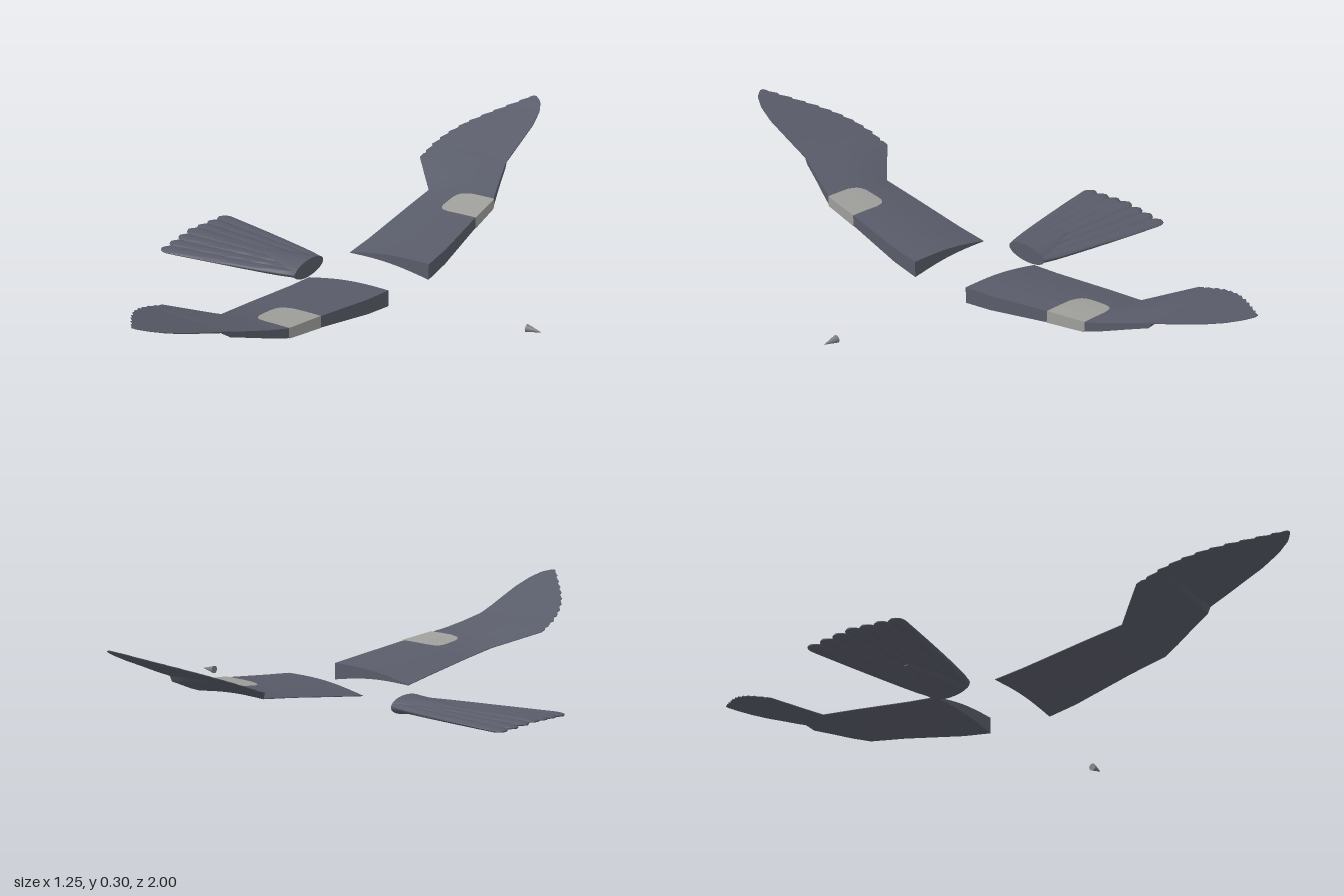
import * as THREE from 'three';
import { toCreasedNormals } from 'three/addons/utils/BufferGeometryUtils.js';

const plumage = new THREE.MeshStandardMaterial({ color: 0x595c69 });
plumage.name = 'slatePlumage';
const pale = new THREE.MeshStandardMaterial({ color: 0x9e9e9b });
pale.name = 'paleGrey';
const horn = new THREE.MeshStandardMaterial({ color: 0x7d7d80 });
horn.name = 'hornGrey';

// Skin a row of cross-sections; each runs counterclockwise about the row's direction
function loft(rings, { closed = true, flip = false, crease = 0.6 } = {}) {
  const n = rings[0].length, pos = rings.flat(2), idx = [];
  const tri = (a, b, c) => (flip ? idx.push(a, c, b) : idx.push(a, b, c));
  for (let i = 0; i < rings.length - 1; i++) {
    for (let j = 0; j < (closed ? n : n - 1); j++) {
      const k = (j + 1) % n, a = i * n + j, b = i * n + k;
      tri(a, b, a + n);
      tri(b, b + n, a + n);
    }
  }
  if (closed) {
    [0, rings.length - 1].forEach((r, end) => {
      // caps are strips, since every section is symmetrical in its point count
      for (let j = 0; j < n / 2 - 1; j++) {
        const a = r * n + j, b = a + 1, c = r * n + n - 1 - j, d = c - 1;
        if (end) { tri(a, b, c); tri(b, d, c); } else { tri(a, c, b); tri(b, c, d); }
      }
    });
  }
  const g = new THREE.BufferGeometry();
  g.setAttribute('position', new THREE.Float32BufferAttribute(pos, 3));
  g.setIndex(idx);
  return toCreasedNormals(g, crease);
}

// Wing stations: span z, trailing x, leading x, trailing y, leading y, front thickness
const STATIONS = [
  [0.105, -0.095, 0.182, 0.058, 0.092, 0.05],
  [0.20, -0.091, 0.178, 0.07, 0.101, 0.046],
  [0.40, -0.09, 0.156, 0.097, 0.124, 0.035],
  [0.525, -0.09, 0.143, 0.112, 0.136, 0.03],
  [0.58, -0.142, 0.122, 0.134, 0.147, 0.025],
  [0.64, -0.198, 0.1, 0.158, 0.163, 0.02],
  [0.70, -0.196, 0.08, 0.18, 0.181, 0.017],
  [0.71, -0.194, 0.078, 0.184, 0.185, 0.004],
  [0.76, -0.18, 0.075, 0.203, 0.203, 0.004],
  [0.82, -0.15, 0.073, 0.226, 0.226, 0.003],
  [0.88, -0.106, 0.07, 0.249, 0.249, 0.003],
  [0.94, -0.055, 0.058, 0.272, 0.272, 0.002],
  [0.98, -0.02, 0.038, 0.288, 0.288, 0.002],
  [1.0, 0.0, 0.012, 0.295, 0.295, 0.002],
];

function station(z) {
  let i = 0;
  while (i < STATIONS.length - 2 && z > STATIONS[i + 1][0]) i++;
  const a = STATIONS[i], b = STATIONS[i + 1], t = (z - a[0]) / (b[0] - a[0]);
  return a.map((v, k) => THREE.MathUtils.lerp(v, b[k], t));
}

// Top and underside heights at fraction u from trailing (0) to leading edge (1)
function heights([, , , yT, yL, th], u) {
  const top = THREE.MathUtils.lerp(yT, yL, u) + 0.2 * th * Math.sin(Math.PI * u);
  return [top, top - THREE.MathUtils.lerp(0.002, th, u)];
}

function makeWing(side) {
  const wing = new THREE.Group();
  wing.name = side > 0 ? 'leftWing' : 'rightWing';

  // Arm and hand, with small feather-tip notches along the outer trailing edge
  const spans = STATIONS.slice(0, 6).map(s => s[0]);
  const count = 44;
  for (let i = 1; i <= count; i++) spans.push(0.64 + 0.36 * i / count);
  spans.push(0.70, 0.71);
  spans.sort((a, b) => a - b);
  const steps = 10;
  const rings = [...new Set(spans)].map(z => {
    const s = station(z);
    const notch = z > 0.66 && z < 0.985 ? 0.009 * (((z - 0.64) / 0.0327) % 1) : 0;
    const x0 = s[1] + notch, top = [], under = [];
    for (let j = 0; j <= steps; j++) {
      const u = 1 - j / steps, x = THREE.MathUtils.lerp(x0, s[2], u);
      const [t, b] = heights(s, u);
      top.push([x, t, side * z]);
      under.unshift([x, b, side * z]);
    }
    return [...top, ...under];
  });
  const body = new THREE.Mesh(loft(rings, { flip: side < 0 }), plumage);
  body.name = 'wingSurface';

  // Pale patch wrapped over the leading edge, rounded at its rear corners
  const patchRings = [];
  for (let i = 0; i <= 20; i++) {
    const z = 0.4 + 0.128 * i / 20, s = station(z);
    const t = Math.abs(i / 10 - 1);
    const x0 = 0.02 + 0.045 * (1 - Math.sqrt(1 - t ** 4));
    const ring = [[s[2] + 0.002, heights(s, 1)[1], side * z]];
    for (let j = 0; j <= 8; j++) {
      const x = THREE.MathUtils.lerp(s[2], x0, j / 8);
      const u = (x - s[1]) / (s[2] - s[1]);
      ring.push([x + (j ? 0 : 0.002), heights(s, u)[0] + 0.002, side * z]);
    }
    patchRings.push(ring);
  }
  const patch = new THREE.Mesh(loft(patchRings, { closed: false, flip: side < 0 }), pale);
  patch.name = 'wingPatch';
  wing.add(body, patch);
  return wing;
}

// Elliptical section across the tail axis
function ellipse(x, y, z, ry, rz, n = 20) {
  return Array.from({ length: n }, (_, j) => {
    const a = (j / n) * Math.PI * 2;
    return [x, y + ry * Math.sin(a), z + rz * Math.cos(a)];
  });
}

function makeTail() {
  const tail = new THREE.Group();
  tail.name = 'tail';
  // Rump tapering into the fan
  const rump = [
    [-0.17, 0.0275, 0.0275, 0.072], [-0.21, 0.028, 0.0235, 0.066],
    [-0.26, 0.03, 0.019, 0.052], [-0.31, 0.031, 0.015, 0.034], [-0.37, 0.032, 0.01, 0.008],
  ].map(([x, y, ry, rz]) => ellipse(x, y, 0, ry, rz, 28));
  const rumpMesh = new THREE.Mesh(loft(rump, { crease: 1 }), plumage);
  rumpMesh.name = 'rump';
  tail.add(rumpMesh);

  // Fan of seven overlapping feathers with rounded tips
  for (let k = -3; k <= 3; k++) {
    const rings = [];
    for (let i = 0; i <= 16; i++) {
      const t = i < 10 ? i / 10 * 0.92 : 0.92 + 0.08 * Math.sin((i - 10) / 6 * Math.PI / 2);
      const round = t > 0.92 ? Math.sqrt(Math.max(0.02, 1 - ((t - 0.92) / 0.08) ** 2)) : 1;
      const reach = 0.452 - 0.003 * Math.abs(k);
      const z = k * (0.018 + 0.028 * Math.pow(t, 0.8));
      const y = 0.035 - 0.0022 * Math.abs(k);
      const ry = THREE.MathUtils.lerp(0.011, 0.006, t) * Math.max(round, 0.4);
      rings.push(ellipse(-0.172 - reach * t, y, z, ry, (0.02 + 0.009 * t) * round, 16));
    }
    const feather = new THREE.Mesh(loft(rings, { crease: 1 }), plumage);
    feather.name = 'tailFeather';
    tail.add(feather);
  }
  return tail;
}

export function createModel() {
  const model = new THREE.Group();
  model.name = 'birdParts';
  model.add(makeWing(1), makeWing(-1), makeTail());

  // Beak tip pointing forward along x
  const cone = new THREE.ConeGeometry(0.0115, 0.047, 16);
  cone.rotateZ(-Math.PI / 2);
  cone.translate(0.5985, 0.042, 0);
  const beak = new THREE.Mesh(cone, horn);
  beak.name = 'beak';
  model.add(beak);
  return model;
}
